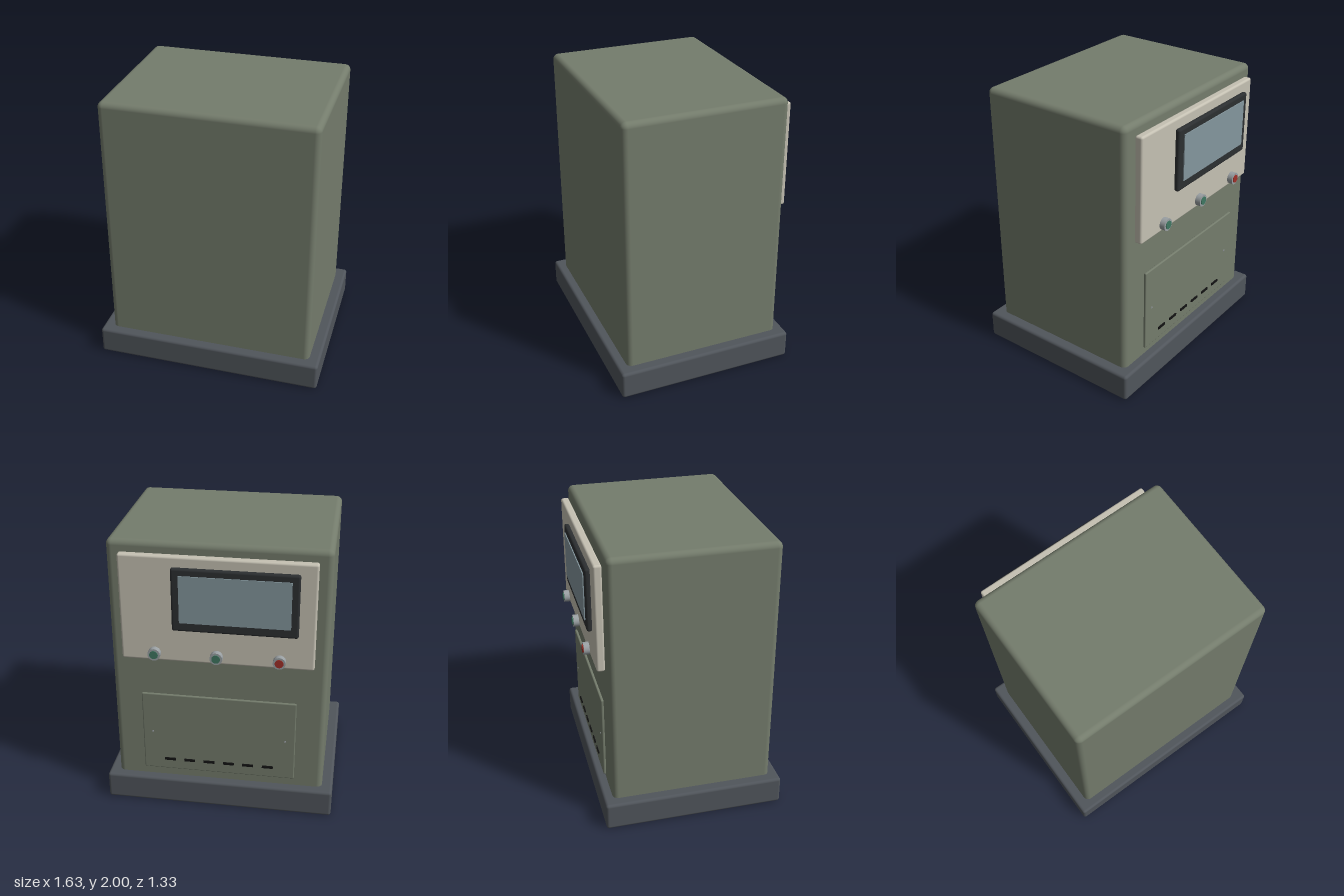
import * as THREE from 'three';
import { RoundedBoxGeometry } from 'three/addons/geometries/RoundedBoxGeometry.js';

const mat = (color) => new THREE.MeshStandardMaterial({ color });
const green = mat(0x747c6c), slate = mat(0x50555b), cream = mat(0xc5c1b3);
const dark = mat(0x2c2f31), glass = mat(0x84969d), steel = mat(0x9aa0a3);
const black = mat(0x121212), go = mat(0x3f7862), stop = mat(0xa03028);

export function createModel() {
  const model = new THREE.Group();
  model.name = 'controlCabinet';

  // Box given by its extents; a radius rounds its edges
  function box(name, [x0, x1], [y0, y1], [z0, z1], radius, material) {
    const size = [x1 - x0, y1 - y0, z1 - z0];
    const geometry = radius
      ? new RoundedBoxGeometry(...size, 4, radius)
      : new THREE.BoxGeometry(...size);
    const mesh = new THREE.Mesh(geometry, material);
    mesh.name = name;
    mesh.position.set((x0 + x1) / 2, (y0 + y1) / 2, (z0 + z1) / 2);
    model.add(mesh);
  }

  // Disc whose axis runs along z
  function disc(name, x, y, z0, z1, radius, material) {
    const geometry = new THREE.CylinderGeometry(radius, radius, z1 - z0, 24);
    geometry.rotateX(Math.PI / 2);
    const mesh = new THREE.Mesh(geometry, material);
    mesh.name = name;
    mesh.position.set(x, y, (z0 + z1) / 2);
    model.add(mesh);
  }

  // Plinth and housing
  box('base', [-0.815, 0.815], [0, 0.2], [-0.612, 0.667], 0.02, slate);
  box('housing', [-0.74, 0.74], [0.16, 2], [-0.547, 0.601], 0.04, green);

  // Control panel with framed display
  box('controlPanel', [-0.65, 0.65], [1.175, 1.928], [-0.612, -0.555], 0.015, cream);
  box('displayFrame', [-0.54, 0.295], [1.42, 1.862], [-0.647, -0.61], 0.015, dark);
  box('displayScreen', [-0.49, 0.243], [1.485, 1.815], [-0.654, -0.646], 0, glass);

  // Push buttons with steel collars
  for (const [x, cap] of [[-0.42, stop], [0, go], [0.42, go]]) {
    disc('buttonCollar', x, 1.24, -0.661, -0.622, 0.043, steel);
    disc('buttonCap', x, 1.24, -0.667, -0.655, 0.029, cap);
  }

  // Service door with screws and a row of vents
  box('serviceDoor', [-0.54, 0.54], [0.27, 0.886], [-0.575, -0.555], 0.008, green);
  for (const x of [-0.47, 0.47]) disc('doorScrew', x, 0.58, -0.578, -0.57, 0.007, steel);
  for (let i = 0; i < 6; i++) {
    const x = -0.35 + 0.14 * i;
    box('ventSlot', [x - 0.039, x + 0.039], [0.346, 0.364], [-0.583, -0.574], 0, black);
  }

  return model;
}
